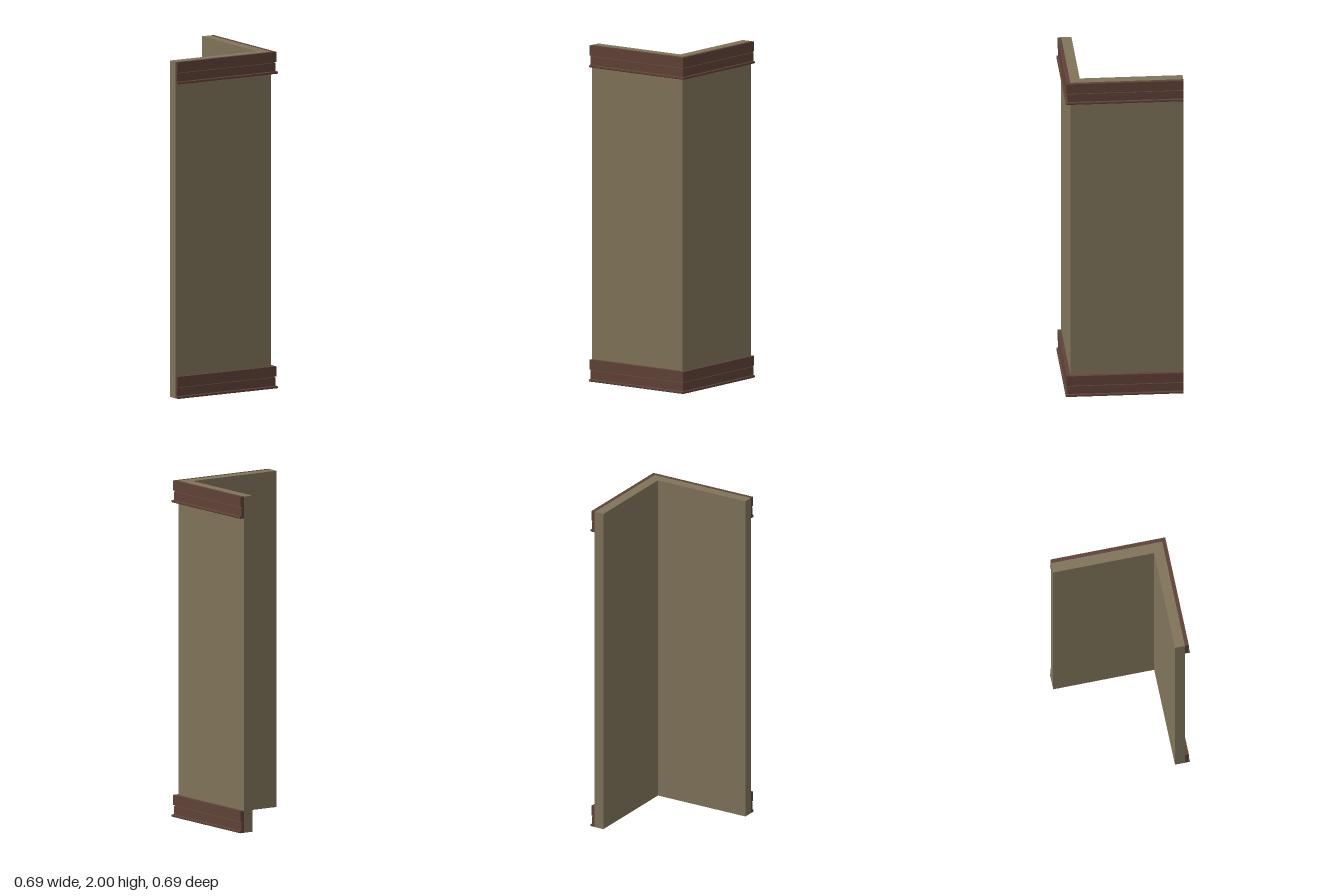
import * as THREE from 'three';

const END = -0.347; // where both arms of the corner stop

// Sweep a counter-clockwise (depth, height) profile round the corner with a mitre
function sweepCorner(profile) {
  const stations = [
    ([d, y]) => [END, y, d],
    ([d, y]) => [d, y, d],
    ([d, y]) => [d, y, END],
  ];
  const pos = [];
  const tri = (a, b, c) => pos.push(...a, ...b, ...c);
  for (let s = 0; s < 2; s++) {
    profile.forEach((p, i) => {
      const q = profile[(i + 1) % profile.length];
      const a = stations[s](p), b = stations[s + 1](p);
      const c = stations[s + 1](q), d = stations[s](q);
      tri(a, b, c);
      tri(a, c, d);
    });
  }
  // end caps
  const outline = profile.map(([d, y]) => new THREE.Vector2(d, y));
  for (const [i, j, k] of THREE.ShapeUtils.triangulateShape(outline, [])) {
    tri(...[i, j, k].map((n) => stations[0](profile[n])));
    tri(...[k, j, i].map((n) => stations[2](profile[n])));
  }
  const geo = new THREE.BufferGeometry();
  geo.setAttribute('position', new THREE.Float32BufferAttribute(pos, 3));
  geo.computeVertexNormals();
  return geo;
}

export function createModel() {
  const group = new THREE.Group();
  const plaster = new THREE.MeshStandardMaterial({ color: 0x80745a });
  plaster.name = 'plaster';
  const wood = new THREE.MeshStandardMaterial({ color: 0x5f4236 });
  wood.name = 'brown wood';

  // L-shaped wall
  const wall = new THREE.Mesh(
    sweepCorner([[0.257, 0], [0.317, 0], [0.317, 2], [0.257, 2]]), plaster);
  wall.name = 'cornerWall';
  group.add(wall);

  // Moulding: rounded lip, lower board, groove, upper board
  const moulding = sweepCorner([
    [0.317, 0], [0.343, 0], [0.346, 0.003], [0.346, 0.011], [0.343, 0.014],
    [0.335, 0.015], [0.335, 0.064], [0.331, 0.066], [0.331, 0.069],
    [0.34, 0.071], [0.34, 0.13], [0.317, 0.13],
  ]);
  for (const [name, y] of [['baseTrim', 0], ['topTrim', 1.87]]) {
    const trim = new THREE.Mesh(moulding, wood);
    trim.name = name;
    trim.position.y = y;
    group.add(trim);
  }
  return group;
}
